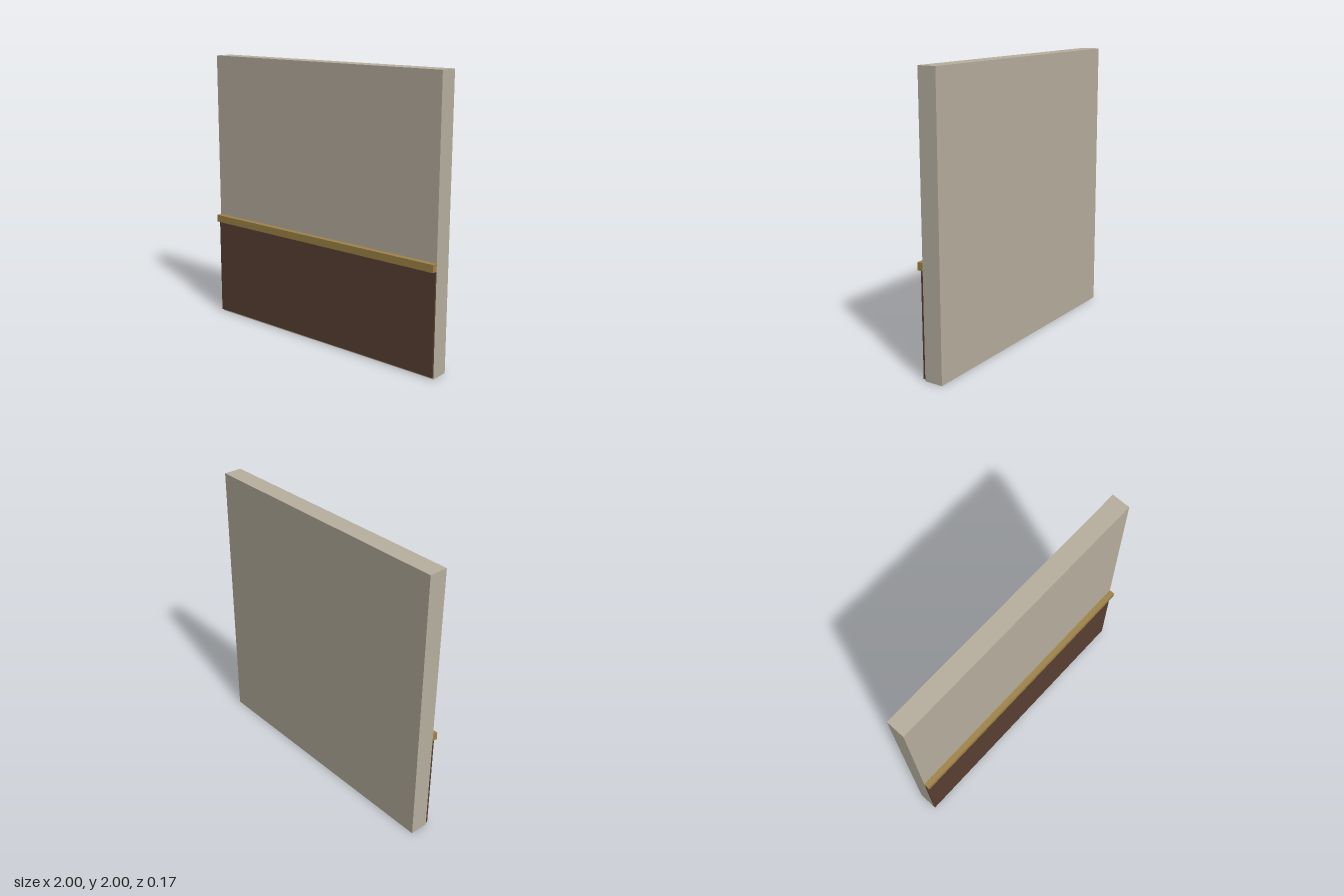
import * as THREE from 'three';

export function createModel() {
  const group = new THREE.Group();
  group.name = 'wainscotWall';

  const material = (name, color) => {
    const m = new THREE.MeshStandardMaterial({ color });
    m.name = name;
    return m;
  };
  const plaster = material('plaster', 0xb8b0a0);
  const darkWood = material('darkWood', 0x5a4034);
  const brass = material('brass', 0xa08448);

  // Full-width slab given by its height and depth ranges
  const slab = (name, mat, y0, y1, z0, z1) => {
    const mesh = new THREE.Mesh(new THREE.BoxGeometry(2, y1 - y0, z1 - z0), mat);
    mesh.name = name;
    mesh.position.set(0, (y0 + y1) / 2, (z0 + z1) / 2);
    group.add(mesh);
  };

  const wallFront = 0.0467;
  slab('wall', plaster, 0, 2, -0.0867, wallFront);
  // Thin lower panel, slightly clear of the floor
  slab('wainscotPanel', darkWood, 0.0133, 0.7333, wallFront, 0.06);
  // Rail capping the panel
  slab('chairRail', brass, 0.7333, 0.7867, wallFront, 0.0867);

  return group;
}
